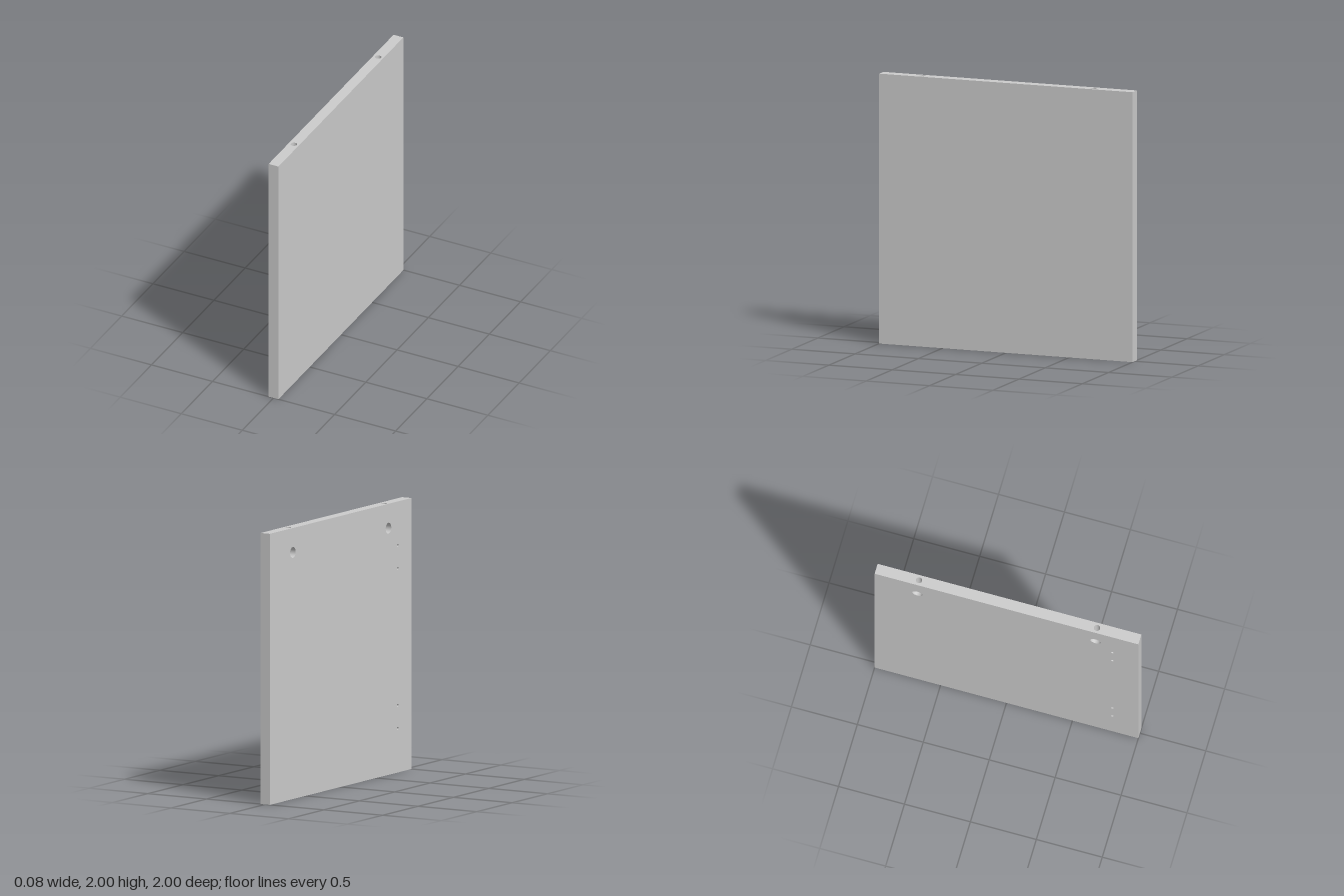
import * as THREE from 'three';

const T = 0.04;                       // half thickness of the board
const CAM_R = 0.04, CAM_DEPTH = 0.067; // large pockets in the inner face
const BOLT_R = 0.023;                 // channels from the top edge into the pockets
const PIN_R = 0.012, DOWEL_R = 0.014;
const CAM_Z = 0.675, CAM_DROP = 0.18;

const mat = new THREE.MeshStandardMaterial({ color: 0xcccccc });
const holeMat = new THREE.MeshStandardMaterial({ color: 0xcccccc, side: THREE.DoubleSide });

function mesh(name, geometry, material = holeMat) {
  const m = new THREE.Mesh(geometry, material);
  m.name = name;
  return m;
}

// Flat rectangular face, facing local +z, pierced by round holes [x, y, radius]
function face(name, w, h, holes = []) {
  const s = new THREE.Shape([
    new THREE.Vector2(-w / 2, -h / 2), new THREE.Vector2(w / 2, -h / 2),
    new THREE.Vector2(w / 2, h / 2), new THREE.Vector2(-w / 2, h / 2)]);
  for (const [x, y, r] of holes) {
    s.holes.push(new THREE.Path().absarc(x, y, r, 0, Math.PI * 2, true));
  }
  return mesh(name, new THREE.ShapeGeometry(s, 24), mat);
}

// Drilled blind hole going into local -z
function blindHole(name, r, depth) {
  const g = new THREE.Group();
  g.name = name;
  const wall = mesh(name + 'Wall', new THREE.CylinderGeometry(r, r, depth, 48, 1, true));
  wall.rotation.x = Math.PI / 2;
  wall.position.z = -depth / 2;
  const floor = mesh(name + 'Floor', new THREE.CircleGeometry(r, 48));
  floor.position.z = -depth;
  g.add(wall, floor);
  return g;
}

// Ribbon joining two rows of points
function ribbon(a, b) {
  const idx = [];
  for (let i = 0; i < a.length - 1; i++) {
    const j = i + a.length;
    idx.push(i, i + 1, j, i + 1, j + 1, j);
  }
  const geo = new THREE.BufferGeometry().setFromPoints([...a, ...b]);
  geo.setIndex(idx);
  geo.computeVertexNormals();
  return geo;
}

// Round pocket whose wall is cut by the vertical bolt channel above it
function camPocket() {
  const g = new THREE.Group();
  g.name = 'camPocket';
  const P = (x, y, z) => new THREE.Vector3(x, y, z);
  const mouth = [], cutOuter = [], cutInner = [], deep = [], topOuter = [], topInner = [];
  const N = 24, span = Math.asin(BOLT_R / CAM_R);
  // columns under the channel, following its circular outline
  for (let i = 0; i <= N; i++) {
    const t = Math.PI * i / N;
    const x = -BOLT_R * Math.cos(t), h = BOLT_R * Math.sin(t);
    const y = Math.sqrt(CAM_R * CAM_R - x * x);
    mouth.push(P(x, y, 0));
    cutOuter.push(P(x, y, -T + h));
    cutInner.push(P(x, y, -T - h));
    deep.push(P(x, y, -CAM_DEPTH));
    topOuter.push(P(x, CAM_DROP, -T + h));
    topInner.push(P(x, CAM_DROP, -T - h));
  }
  g.add(mesh('pocketWallOuter', ribbon(mouth, cutOuter)));
  g.add(mesh('pocketWallInner', ribbon(cutInner, deep)));
  // one continuous loop around the channel
  const around = (a, b) => [...a, ...b.slice(0, -1).reverse()];
  g.add(mesh('boltChannel', ribbon(around(topOuter, topInner), around(cutOuter, cutInner))));
  // rest of the pocket wall
  const rest0 = [], rest1 = [];
  for (let i = 0; i <= 48; i++) {
    const a = span + (2 * Math.PI - 2 * span) * i / 48;
    rest0.push(P(CAM_R * Math.sin(a), CAM_R * Math.cos(a), 0));
    rest1.push(P(CAM_R * Math.sin(a), CAM_R * Math.cos(a), -CAM_DEPTH));
  }
  g.add(mesh('pocketWall', ribbon(rest0, rest1)));
  const floor = mesh('pocketFloor', new THREE.CircleGeometry(CAM_R, 48));
  floor.position.z = -CAM_DEPTH;
  g.add(floor);
  return g;
}

export function createModel() {
  const board = new THREE.Group();
  board.name = 'drilledBoard';

  // Inner face (-x): two large pockets and two pairs of pin holes
  const cams = [-CAM_Z, CAM_Z].map(z => [z, 1 - CAM_DROP, CAM_R]);
  const pins = [-0.675, -0.505, 0.505, 0.675].map(y => [0.805, y, PIN_R]);
  const inner = face('innerFace', 2, 2, [...cams, ...pins]);
  inner.rotation.y = -Math.PI / 2;
  inner.position.set(-T, 1, 0);
  for (const [x, y] of cams) {
    const c = camPocket();
    c.position.set(x, y, 0);
    inner.add(c);
  }
  for (const [x, y, r] of pins) {
    const p = blindHole('pinHole', r, 0.05);
    p.position.set(x, y, 0);
    inner.add(p);
  }

  // Plain outer face (+x)
  const outer = face('outerFace', 2, 2);
  outer.rotation.y = Math.PI / 2;
  outer.position.set(T, 1, 0);

  // Front and back edges
  const front = face('frontEdge', 2 * T, 2);
  front.position.set(0, 1, 1);
  const back = face('backEdge', 2 * T, 2);
  back.rotation.y = Math.PI;
  back.position.set(0, 1, -1);

  // Top edge with the mouths of the bolt channels
  const top = face('topEdge', 2 * T, 2, [[0, -CAM_Z, BOLT_R], [0, CAM_Z, BOLT_R]]);
  top.rotation.x = -Math.PI / 2;
  top.position.y = 2;

  // Bottom edge with two dowel holes
  const dowels = [[0, -CAM_Z, DOWEL_R], [0, CAM_Z, DOWEL_R]];
  const bottom = face('bottomEdge', 2 * T, 2, dowels);
  bottom.rotation.x = Math.PI / 2;
  for (const [x, y, r] of dowels) {
    const d = blindHole('dowelHole', r, 0.1);
    d.position.set(x, y, 0);
    bottom.add(d);
  }

  board.add(inner, outer, front, back, top, bottom);
  return board;
}
